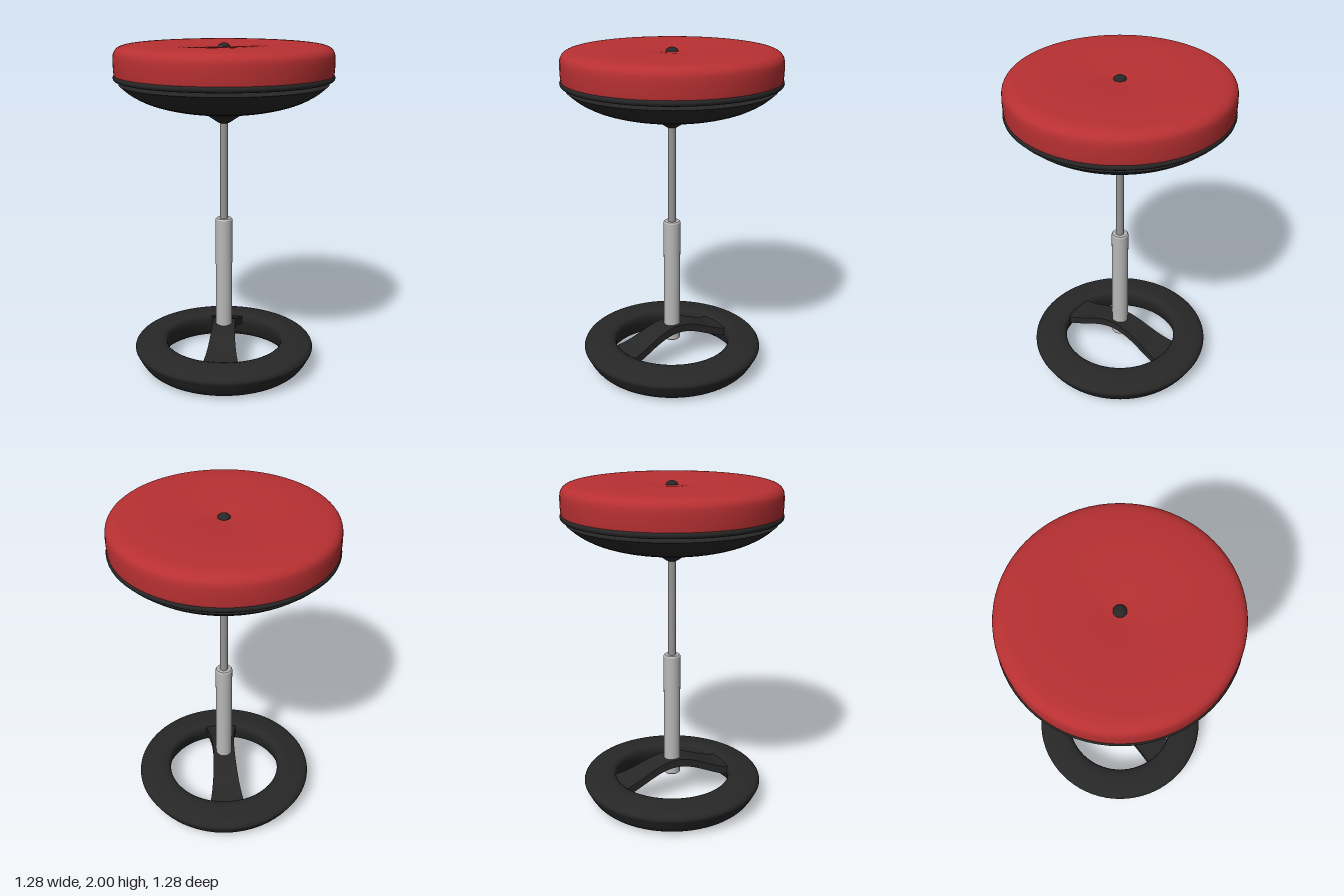
import * as THREE from 'three';

const mat = (name, color) => {
  const m = new THREE.MeshStandardMaterial({ color });
  m.name = name;
  return m;
};

// Smooth lathe through a few [radius, y] points, ordered outward then upward
function lathe(points, material, name, smooth = 0, closed = false) {
  let pts = points.map(([r, y]) => new THREE.Vector2(r, y));
  if (closed) {
    const loop = new THREE.CatmullRomCurve3(points.map(([r, y]) => new THREE.Vector3(r, y, 0)), true);
    pts = loop.getPoints(smooth).map((p) => new THREE.Vector2(p.x, p.y));
  } else if (smooth) {
    pts = new THREE.SplineCurve(pts).getPoints(smooth);
    pts.forEach((p) => { p.x = Math.max(0, p.x); });
  }
  const mesh = new THREE.Mesh(new THREE.LatheGeometry(pts, 72), material);
  mesh.name = name;
  return mesh;
}

export function createModel() {
  const red = mat('red upholstery', 0xb83032);
  const black = mat('black plastic', 0x272727);
  const silver = mat('silver metal', 0xb8b8b8);
  const steel = mat('rod steel', 0x949494);

  const stool = new THREE.Group();
  stool.name = 'stool';

  // Foot ring
  stool.add(lathe([
    [0.39, 0.03], [0.43, 0.003], [0.465, 0.006], [0.505, 0.035], [0.545, 0.1], [0.557, 0.13],
    [0.54, 0.157], [0.47, 0.174], [0.4, 0.18], [0.365, 0.168], [0.355, 0.135], [0.367, 0.08],
  ], black, 'footRing', 60, true));

  // Arched strap across the ring, wider at its ends
  const strapGeo = new THREE.BoxGeometry(0.8, 0.05, 1, 40, 1, 6);
  const p = strapGeo.attributes.position;
  for (let i = 0; i < p.count; i++) {
    const t = p.getX(i) / 0.4;
    const arch = 0.135 + 0.11 * (0.5 + 0.5 * Math.cos(Math.PI * t));
    p.setY(i, p.getY(i) + arch);
    p.setZ(i, p.getZ(i) * 2 * (0.07 + 0.045 * t * t));
  }
  strapGeo.computeVertexNormals();
  const strap = new THREE.Mesh(strapGeo, black);
  strap.name = 'strap';
  strap.rotation.y = 1.21;
  stool.add(strap);

  // Column: outer tube with bevelled ends, and inner rod
  stool.add(lathe([
    [0, 0.16], [0.042, 0.16], [0.042, 0.16], [0.051, 0.168], [0.051, 0.17], [0.051, 0.945],
    [0.051, 0.947], [0.045, 0.955], [0.045, 0.955], [0, 0.955],
  ], silver, 'outerTube'));
  const rod = new THREE.Mesh(new THREE.CylinderGeometry(0.024, 0.024, 0.62, 32), steel);
  rod.name = 'innerRod';
  rod.position.y = 1.25;
  stool.add(rod);

  // Cone mount and dished shell under the seat
  stool.add(lathe([
    [0, 1.535], [0.028, 1.537], [0.06, 1.557], [0.1, 1.583], [0.14, 1.605],
  ], black, 'seatMount', 20));
  stool.add(lathe([
    [0, 1.594], [0.13, 1.6], [0.3, 1.622], [0.44, 1.66], [0.54, 1.71], [0.608, 1.765],
  ], black, 'shell', 30));
  const lid = new THREE.Mesh(new THREE.CircleGeometry(0.608, 72), black);
  lid.name = 'shellTop';
  lid.rotation.x = -Math.PI / 2;
  lid.position.y = 1.765;
  stool.add(lid);

  // Cushion with a flat underside and a dimpled, lightly creased top
  const under = new THREE.Mesh(new THREE.CircleGeometry(0.625, 72), red);
  under.name = 'cushionUnderside';
  under.rotation.x = Math.PI / 2;
  under.position.y = 1.79;
  stool.add(under);
  const cushion = lathe([
    [0.625, 1.79], [0.635, 1.83], [0.637, 1.92], [0.624, 1.962], [0.585, 1.985], [0.5, 1.995],
    [0.38, 1.998], [0.2, 1.992], [0.07, 1.98], [0, 1.974],
  ], red, 'cushion', 60);
  const c = cushion.geometry.attributes.position;
  for (let i = 0; i < c.count; i++) {
    const x = c.getX(i), z = c.getZ(i), r = Math.hypot(x, z);
    if (c.getY(i) < 1.97 || r > 0.45) continue;
    const fade = Math.sin(Math.PI * r / 0.45) ** 2;
    const a = Math.atan2(z, x);
    c.setY(i, c.getY(i) - 0.003 * fade * (1 + Math.sin(3 * a + 0.6)) / 2);
  }
  stool.add(cushion);

  // Trim piping around the cushion
  const trim = new THREE.Mesh(new THREE.TorusGeometry(0.622, 0.019, 12, 72), black);
  trim.name = 'trim';
  trim.rotation.x = Math.PI / 2;
  trim.position.y = 1.807;
  stool.add(trim);

  // Centre button
  const button = new THREE.Mesh(new THREE.SphereGeometry(0.036, 24, 16), black);
  button.name = 'button';
  button.scale.y = 0.7;
  button.position.y = 1.975;
  stool.add(button);

  return stool;
}
